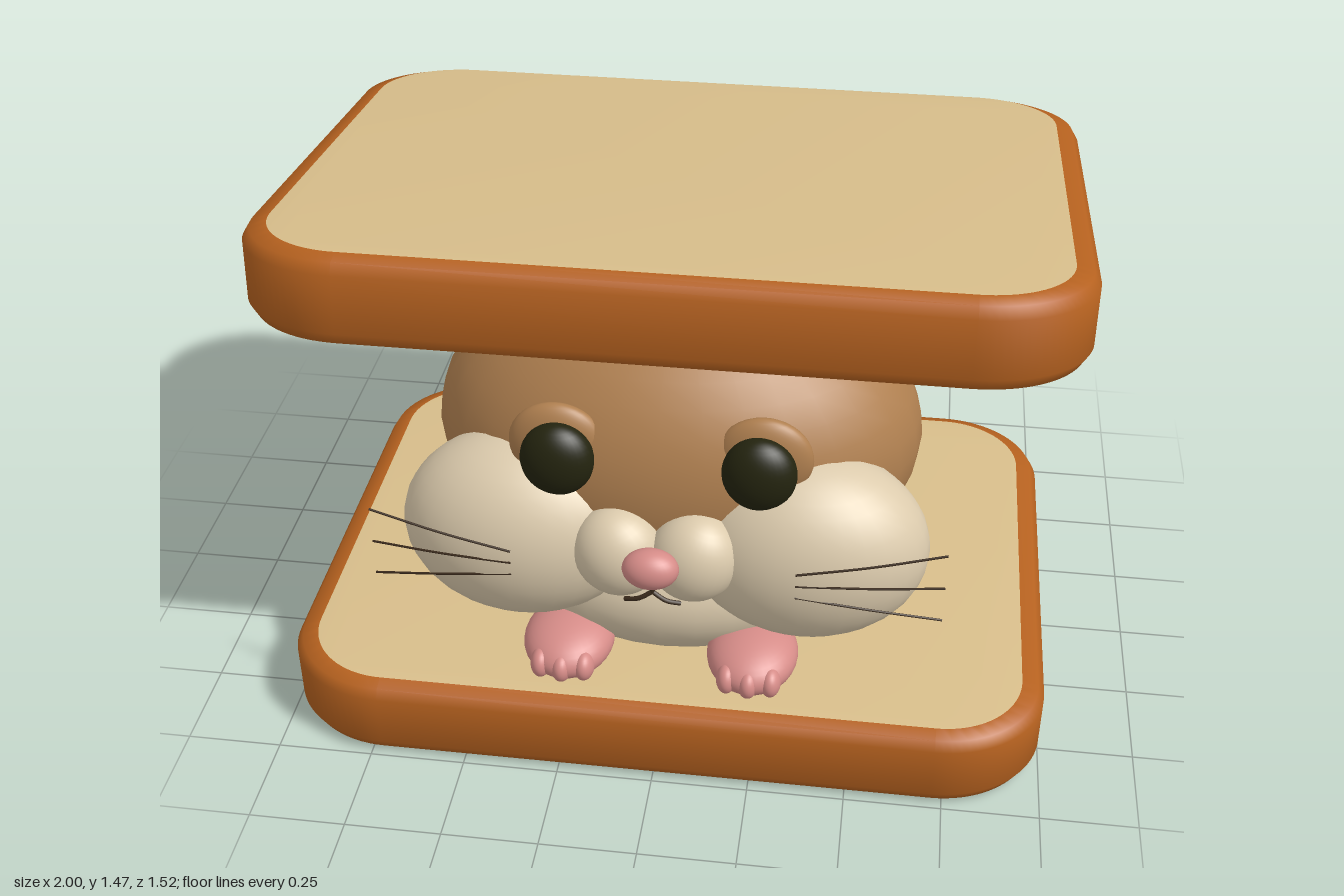
import * as THREE from 'three';
import { toCreasedNormals } from 'three/addons/utils/BufferGeometryUtils.js';

const paint = (name, color) => {
  const m = new THREE.MeshStandardMaterial({ color });
  m.name = name;
  return m;
};

export function createModel() {
  const crust = paint('crust', 0xb5611f);
  const crumb = paint('crumb', 0xd8be8b);
  const fur = paint('fur', 0xb08050);
  const cream = paint('cream fur', 0xdccbad);
  const pink = paint('pink skin', 0xd68c88);
  const eyeDark = paint('eye', 0x24240f);
  const line = paint('mouth and whisker', 0x3a2a1c);

  const model = new THREE.Group();
  model.name = 'hamsterSandwich';

  const ball = new THREE.SphereGeometry(1, 32, 20);
  const blob = (name, mat, [x, y, z], radii, parent = model) => {
    const m = new THREE.Mesh(ball, mat);
    m.name = name;
    m.position.set(x, y, z);
    m.scale.set(...radii);
    parent.add(m);
    return m;
  };
  const thread = (name, points, radius) => {
    const path = new THREE.CatmullRomCurve3(points.map((p) => new THREE.Vector3(...p)));
    const m = new THREE.Mesh(new THREE.TubeGeometry(path, 10, radius, 6), line);
    m.name = name;
    model.add(m);
  };

  // Bread slices: rounded rectangle with bevelled crust and crumb faces
  const hx = 0.94, hz = 0.888, rx = 0.22, rz = 0.27;
  const outline = new THREE.Shape();
  outline.moveTo(hx, -hz + rz);
  outline.lineTo(hx, hz - rz);
  outline.absellipse(hx - rx, hz - rz, rx, rz, 0, Math.PI / 2);
  outline.absellipse(-hx + rx, hz - rz, rx, rz, Math.PI / 2, Math.PI);
  outline.absellipse(-hx + rx, -hz + rz, rx, rz, Math.PI, Math.PI * 1.5);
  outline.absellipse(hx - rx, -hz + rz, rx, rz, Math.PI * 1.5, Math.PI * 2);
  let sliceGeo = new THREE.ExtrudeGeometry(outline, {
    depth: 0.145, bevelThickness: 0.04, bevelSize: 0.06, bevelSegments: 2, curveSegments: 10,
  });
  sliceGeo.translate(0, 0, -0.0725);
  sliceGeo.rotateX(-Math.PI / 2);
  sliceGeo.scale(1, 1, 0.768);
  sliceGeo = toCreasedNormals(sliceGeo, 0.8);
  const slice = (name, y, z, tilt) => {
    const m = new THREE.Mesh(sliceGeo, [crumb, crust]);
    m.name = name;
    m.position.set(0, y, z);
    m.rotation.x = tilt;
    model.add(m);
  };
  slice('bottomBreadSlice', 0.1125, 0.012, 0);
  slice('topBreadSlice', 1.276, -0.025, -0.115);

  // Body, head and belly
  blob('body', fur, [0, 0.56, -0.2], [0.6, 0.455, 0.455]);
  blob('head', fur, [0, 0.76, 0.17], [0.635, 0.44, 0.44]);
  blob('belly', cream, [0, 0.42, 0.2], [0.5, 0.26, 0.4]);
  blob('tail', pink, [0, 0.437, -0.64], [0.05, 0.075, 0.078]);
  blob('nose', pink, [0, 0.68, 0.71], [0.07, 0.052, 0.05]);

  // Paired parts
  for (const s of [1, -1]) {
    const side = s > 0 ? 'left' : 'right';
    blob(side + 'Cheek', cream, [s * 0.36, 0.618, 0.475], [0.312, 0.256, 0.217]);
    const muzzle = blob(side + 'Muzzle', cream, [s * 0.095, 0.65, 0.61], [0.115, 0.122, 0.1]);
    muzzle.rotation.z = -s * 0.3;
    blob(side + 'EyeSocket', fur, [s * 0.255, 0.905, 0.53], [0.12, 0.115, 0.045]);
    blob(side + 'Eye', eyeDark, [s * 0.247, 0.888, 0.573], [0.092, 0.1, 0.062]);
    blob(side + 'Ear', fur, [s * 0.465, 1.12, 0.037], [0.17, 0.17, 0.076]);
    blob(side + 'InnerEar', pink, [s * 0.465, 1.14, 0.095], [0.115, 0.12, 0.045]);
    blob(side + 'HindFoot', pink, [s * 0.44, 0.272, -0.32], [0.125, 0.064, 0.182]);

    // Front paw with three toes
    const paw = new THREE.Group();
    paw.name = side + 'FrontPaw';
    model.add(paw);
    blob('paw', pink, [s * 0.24, 0.303, 0.555], [0.118, 0.072, 0.145], paw);
    for (const t of [-1, 0, 1]) {
      blob('toe', pink, [s * 0.24 + t * 0.056, 0.3, 0.67 - Math.abs(t) * 0.012], [0.027, 0.04, 0.04], paw);
    }

    // Mouth curve and whiskers
    thread(side + 'Mouth', [[0, 0.585, 0.682], [s * 0.035, 0.565, 0.688], [s * 0.07, 0.555, 0.682]], 0.006);
    for (const k of [-1, 0, 1]) {
      thread(side + 'Whisker', [
        [s * 0.35, 0.645 + k * 0.035, 0.69],
        [s * 0.53, 0.645 + k * 0.066, 0.675],
        [s * 0.71, 0.645 + k * 0.1, 0.65],
      ], 0.003);
    }
  }
  thread('mouthLine', [[0, 0.64, 0.69], [0, 0.61, 0.686], [0, 0.58, 0.682]], 0.006);

  return model;
}
